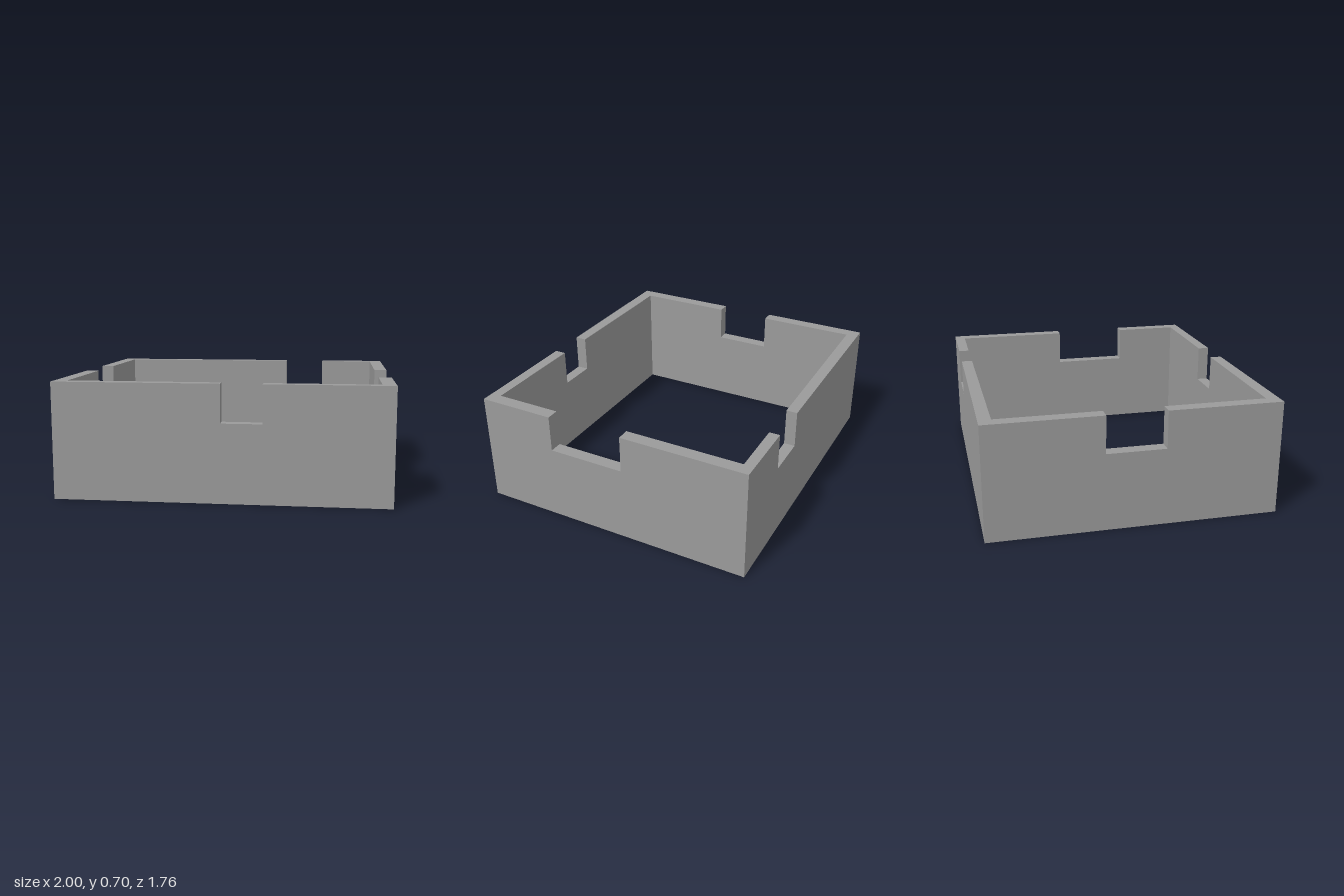
import * as THREE from 'three';

const HEIGHT = 0.705; // full wall height
const SILL = 0.475;   // floor of each notch

// Corners run front-right, front-left, back-left, back-right; the opening is slightly tapered
const outer = [[-1, 0.88], [1, 0.88], [1, -0.88], [-1, -0.88]];
const inner = [[-0.92, 0.801], [0.92, 0.814], [0.92, -0.816], [-0.92, -0.804]];

// One wall per side: axis it runs along (0 = x, 1 = z), notch start and end
const walls = [
  { name: 'frontWall', axis: 0, notch: [0.002, 0.246] },
  { name: 'leftWall', axis: 1, notch: [0.398, -0.086] },
  { name: 'backWall', axis: 0, notch: [0.558, 0.283] },
  { name: 'rightWall', axis: 1, notch: [-0.18, 0.18] },
];

// Point on the line a-b where the given axis has value v
function pointAt(a, b, axis, v) {
  const t = (v - a[axis]) / (b[axis] - a[axis]);
  return [a[0] + (b[0] - a[0]) * t, a[1] + (b[1] - a[1]) * t];
}

function wallGeometry(i) {
  const { axis, notch } = walls[i];
  const j = (i + 1) % 4;
  const positions = [];
  const quad = (...corners) => {
    for (const k of [0, 1, 2, 0, 2, 3]) positions.push(...corners[k]);
  };
  const at = ([x, z], y) => [x, y, z];

  // Cross-section stations: mitred corner, two notch edges, mitred corner
  const section = (v) => ({
    o: pointAt(outer[i], outer[j], axis, v),
    n: pointAt(inner[i], inner[j], axis, v),
  });
  const stations = [
    { o: outer[i], n: inner[i] },
    section(notch[0]),
    section(notch[1]),
    { o: outer[j], n: inner[j] },
  ];

  // Outside, inside, top and underside of each stretch
  for (let k = 0; k < 3; k++) {
    const a = stations[k], b = stations[k + 1];
    const h = k === 1 ? SILL : HEIGHT;
    quad(at(a.o, 0), at(b.o, 0), at(b.o, h), at(a.o, h));
    quad(at(b.n, 0), at(a.n, 0), at(a.n, h), at(b.n, h));
    quad(at(a.o, h), at(b.o, h), at(b.n, h), at(a.n, h));
    quad(at(a.n, 0), at(b.n, 0), at(b.o, 0), at(a.o, 0));
  }

  // Upright cheeks of the notch
  const [, s, e] = stations;
  quad(at(s.o, SILL), at(s.n, SILL), at(s.n, HEIGHT), at(s.o, HEIGHT));
  quad(at(e.n, SILL), at(e.o, SILL), at(e.o, HEIGHT), at(e.n, HEIGHT));

  const geometry = new THREE.BufferGeometry();
  geometry.setAttribute('position', new THREE.Float32BufferAttribute(positions, 3));
  geometry.computeVertexNormals();
  return geometry;
}

export function createModel() {
  const group = new THREE.Group();
  group.name = 'notchedFrame';
  const material = new THREE.MeshStandardMaterial({ color: 0x9a9a9a, flatShading: true });
  walls.forEach((wall, i) => {
    const mesh = new THREE.Mesh(wallGeometry(i), material);
    mesh.name = wall.name;
    group.add(mesh);
  });
  return group;
}
